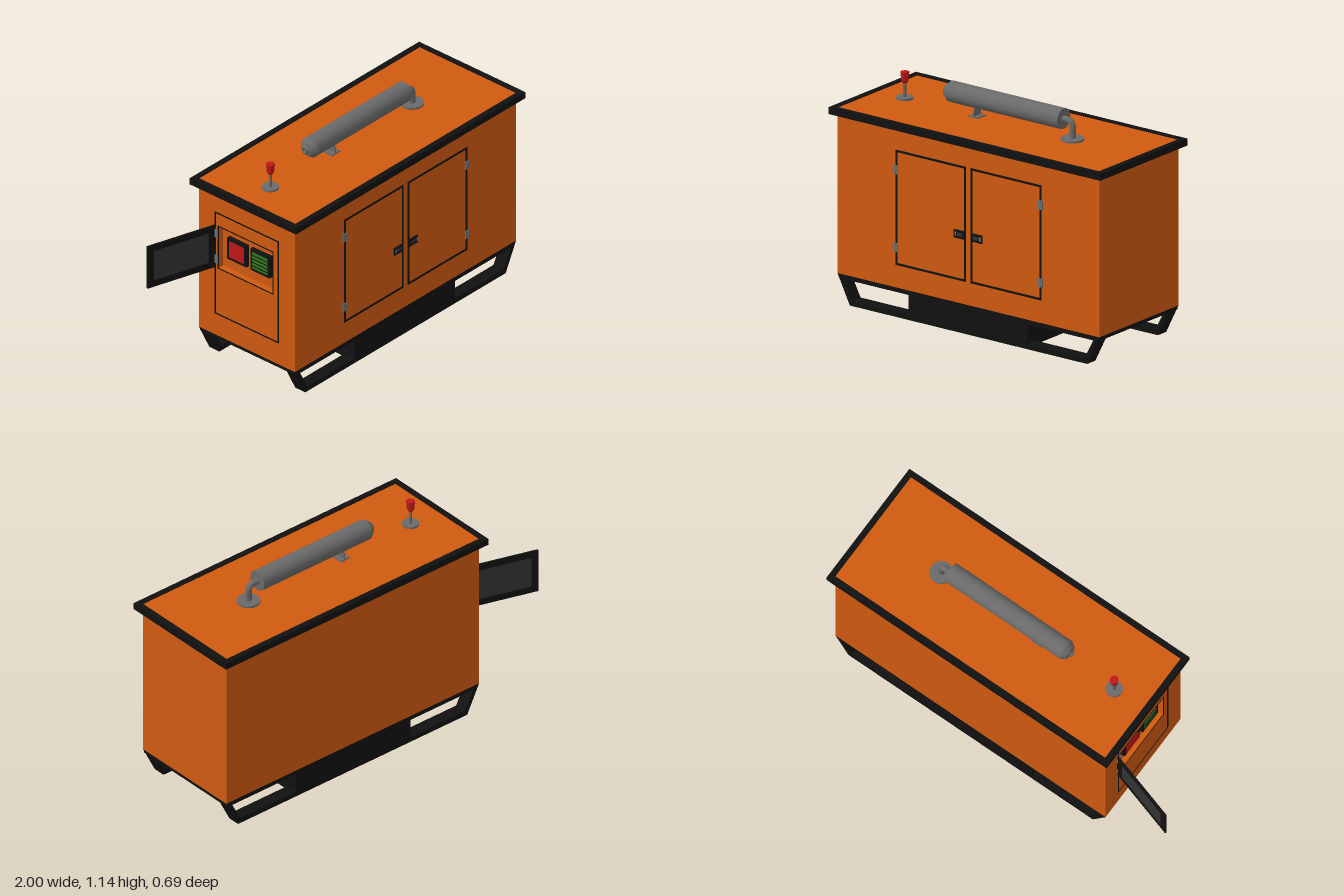
import * as THREE from 'three';

const mat = (color) => new THREE.MeshStandardMaterial({ color });
const ORANGE = mat(0xd05a10), BLACK = mat(0x111111), GREY = mat(0x6a6a6a),
  STEEL = mat(0x667077), GLASS = mat(0x333333), RED = mat(0xc01818), GREEN = mat(0x2f7a1c);
const CX = 0.165; // centre of the cabinet along x

function add(parent, name, geometry, material, x = 0, y = 0, z = 0) {
  const mesh = new THREE.Mesh(geometry, material);
  mesh.name = name;
  mesh.position.set(x, y, z);
  parent.add(mesh);
  return mesh;
}

function group(parent, name, x = 0, y = 0, z = 0) {
  const g = new THREE.Group();
  g.name = name;
  g.position.set(x, y, z);
  parent.add(g);
  return g;
}

const box = (w, h, d) => new THREE.BoxGeometry(w, h, d);
const tube = (r, h, n = 24, r2 = r) => new THREE.CylinderGeometry(r2, r, h, n);
const points = (list) => list.map(([x, y]) => new THREE.Vector2(x, y));
const rect = (x0, y0, x1, y1) => points([[x0, y0], [x1, y0], [x1, y1], [x0, y1]]);

// Flat plate with holes, extruded along z
function plate(outline, holes, depth) {
  const shape = new THREE.Shape(outline);
  holes.forEach((h) => shape.holes.push(new THREE.Path(h)));
  return new THREE.ExtrudeGeometry(shape, { depth, bevelEnabled: false });
}

// Rectangular frame with a border of width t
const frame = (x0, y0, x1, y1, t, depth) =>
  plate(rect(x0, y0, x1, y1), [rect(x0 + t, y0 + t, x1 - t, y1 - t)], depth);

function buildBase(root) {
  const base = group(root, 'skidBase');
  const outline = points([[-0.56, 0], [0.89, 0], [0.965, 0.15], [-0.635, 0.15]]);
  const holes = [
    points([[-0.545, 0.027], [-0.2, 0.027], [-0.2, 0.127], [-0.597, 0.127]]),
    points([[0.525, 0.027], [0.875, 0.027], [0.927, 0.127], [0.525, 0.127]]),
  ];
  for (const z of [-0.31, 0.245]) add(base, 'skidRail', plate(outline, holes, 0.065), BLACK, 0, 0, z);
  add(base, 'fuelTank', box(0.725, 0.13, 0.5), BLACK, 0.1625, 0.073, 0);
  add(base, 'floor', box(1.59, 0.02, 0.615), BLACK, CX, 0.139, 0);
}

function buildFrontDoors(root) {
  const doors = group(root, 'frontDoors', CX, 0, 0.31);
  for (const s of [-1, 1]) {
    const [a, b] = s > 0 ? [0.015, 0.445] : [-0.445, -0.015];
    add(doors, 'doorSeam', frame(a, 0.265, b, 0.85, 0.011, 0.002), BLACK);
    for (const y of [0.355, 0.75]) {
      add(doors, 'hinge', box(0.024, 0.045, 0.006), STEEL, s * 0.442, y, 0.003);
      add(doors, 'hingePin', tube(0.004, 0.045, 8), STEEL, s * 0.442, y, 0.004);
    }
    add(doors, 'latch', box(0.062, 0.042, 0.005), BLACK, s * 0.055, 0.5, 0.003);
    add(doors, 'latchHandle', box(0.03, 0.016, 0.004), GLASS, s * 0.05, 0.5, 0.006);
    add(doors, 'latchLock', box(0.008, 0.02, 0.004), STEEL, s * 0.076, 0.5, 0.006);
  }
}

// Control side: local x runs along world z, local z points out to -x
function buildControlSide(root) {
  const side = group(root, 'controlSide', -0.605, 0, 0);
  side.rotation.y = -Math.PI / 2;
  add(side, 'sideWall', plate(rect(-0.31, 0.15, 0.31, 0.96), [rect(-0.18, 0.54, 0.165, 0.77)], 0.03), ORANGE);
  add(side, 'sideDoorSeam', frame(-0.207, 0.27, 0.207, 0.85, 0.007, 0.032), BLACK);
  add(side, 'openingSeam', frame(-0.187, 0.533, 0.172, 0.777, 0.005, 0.032), BLACK);
  // Instruments in the recess
  for (const [name, x, material] of [['warningPanel', -0.075, RED], ['display', 0.075, GREEN]]) {
    add(side, name + 'Case', box(0.125, 0.12, 0.02), BLACK, x, 0.665, 0.01);
    add(side, name, box(0.095, 0.09, 0.006), material, x, 0.665, 0.02);
  }
  for (let i = 0; i < 4; i++)
    add(side, 'displayLine', box(0.095, 0.005, 0.002), BLACK, 0.075, 0.635 + i * 0.02, 0.0235);
  for (const y of [0.585, 0.73])
    add(side, 'sideHinge', box(0.03, 0.045, 0.006), STEEL, -0.2, y, 0.034);

  // Small door swung open
  const door = group(root, 'openControlDoor', -0.636, 0, -0.208);
  door.rotation.y = -0.296;
  add(door, 'controlDoorFrame', frame(-0.38, 0.535, 0, 0.772, 0.035, 0.01), BLACK, 0, 0, -0.005);
  add(door, 'controlDoorPane', box(0.312, 0.17, 0.006), GLASS, -0.19, 0.6535, 0);
}

function buildRoof(root) {
  const roof = group(root, 'roof');
  const rim = add(roof, 'roofRim',
    plate(rect(-0.83, -0.343, 0.83, 0.343), [rect(-0.8, -0.313, 0.8, 0.313)], 0.035), BLACK, CX, 0.96, 0);
  rim.rotation.x = -Math.PI / 2;
  add(roof, 'roofPanel', box(1.602, 0.03, 0.628), ORANGE, CX, 0.975, 0);
}

function buildExhaust(root) {
  const exhaust = group(root, 'exhaust');
  // Muffler turned about its axis, with a tapered outlet end
  const profile = points([[0, -0.345], [0.052, -0.345], [0.052, -0.345], [0.052, 0.34], [0.052, 0.34],
    [0.034, 0.365], [0.034, 0.365], [0.015, 0.367], [0.015, 0.38], [0.01, 0.38], [0.01, 0.36], [0, 0.36]]);
  const muffler = add(exhaust, 'muffler', new THREE.LatheGeometry(profile, 32), GREY, 0.16, 1.086, 0);
  muffler.rotation.z = Math.PI / 2;
  // Elbow pipe and its flange
  const path = new THREE.CurvePath();
  const v = (x, y) => new THREE.Vector3(x, y, 0);
  path.add(new THREE.LineCurve3(v(0.49, 1.086), v(0.525, 1.086)));
  path.add(new THREE.QuadraticBezierCurve3(v(0.525, 1.086), v(0.56, 1.086), v(0.56, 1.05)));
  path.add(new THREE.LineCurve3(v(0.56, 1.05), v(0.56, 0.99)));
  add(exhaust, 'elbowPipe', new THREE.TubeGeometry(path, 32, 0.016, 16), GREY);
  add(exhaust, 'pipeFlange', tube(0.058, 0.01), GREY, 0.56, 0.995, 0);
  // Support bracket under the muffler
  const web = add(exhaust, 'bracketWeb',
    plate(points([[-0.032, 0.99], [0.032, 0.99], [0.02, 1.045], [-0.02, 1.045]]), [], 0.006), GREY, -0.028, 0, 0);
  web.rotation.y = Math.PI / 2;
  add(exhaust, 'bracketFoot', box(0.06, 0.006, 0.064), GREY, -0.025, 0.993, 0);
}

function buildBeacon(root) {
  const beacon = group(root, 'beacon', -0.465, 0, 0);
  add(beacon, 'beaconFlange', tube(0.042, 0.01), GREY, 0, 0.995, 0);
  add(beacon, 'beaconPole', tube(0.008, 0.09, 12), GREY, 0, 1.04, 0);
  add(beacon, 'beaconCollar', tube(0.012, 0.012, 12, 0.018), RED, 0, 1.076, 0);
  add(beacon, 'beaconLamp', tube(0.018, 0.046, 8, 0.022), RED, 0, 1.104, 0);
}

export function createModel() {
  const root = new THREE.Group();
  root.name = 'generator';
  buildBase(root);
  add(root, 'cabinet', box(1.57, 0.81, 0.62), ORANGE, 0.18, 0.555, 0);
  buildFrontDoors(root);
  buildControlSide(root);
  buildRoof(root);
  buildExhaust(root);
  buildBeacon(root);
  return root;
}
